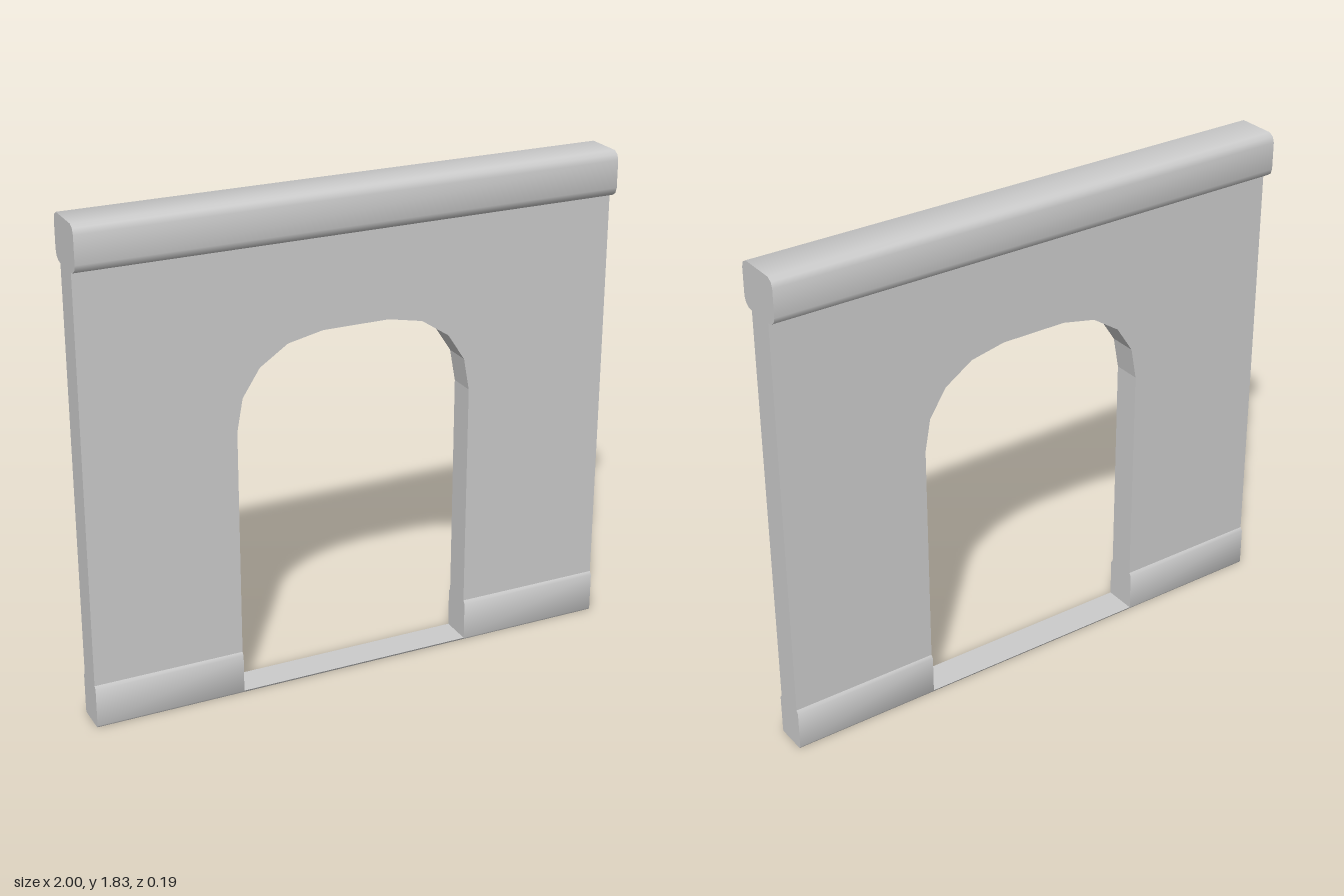
import * as THREE from 'three';
import { toCreasedNormals } from 'three/addons/utils/BufferGeometryUtils.js';

const material = new THREE.MeshStandardMaterial({ color: 0xcccccc });

// Mirrors half of an outline, listed bottom to top, into a closed symmetric shape
function mirroredShape(half) {
  const other = half.map(([a, b]) => [-a, b]).reverse();
  return new THREE.Shape([...half, ...other].map(([a, b]) => new THREE.Vector2(a, b)));
}

// Sweeps a (depth, height) profile along x from x0 to x1
function molding(name, half, x0, x1) {
  const geometry = new THREE.ExtrudeGeometry(mirroredShape(half), { depth: x1 - x0, bevelEnabled: false });
  geometry.rotateY(Math.PI / 2).translate(x0, 0, 0);
  const mesh = new THREE.Mesh(toCreasedNormals(geometry, 0.9), material);
  mesh.name = name;
  return mesh;
}

export function createModel() {
  const group = new THREE.Group();
  group.name = 'archedWall';
  const opening = 0.447, wallHalf = 0.052, legBase = 0.155;

  // Wall panel with a faceted arched doorway
  const arch = [[opening, legBase], [opening, 1.01], [0.425, 1.13], [0.36, 1.23], [0.255, 1.3], [0.125, 1.327]];
  const right = [[1, 1.67], [1, legBase], ...arch];
  const outline = [...right, ...right.map(([x, y]) => [-x, y]).reverse()];
  const panel = new THREE.ExtrudeGeometry(
    new THREE.Shape(outline.map(([x, y]) => new THREE.Vector2(x, y))),
    { depth: wallHalf * 2, bevelEnabled: false });
  panel.translate(0, 0, -wallHalf);
  const wall = new THREE.Mesh(toCreasedNormals(panel, 0.1), material);
  wall.name = 'wallPanel';
  group.add(wall);

  // Rounded coping rail along the top
  group.add(molding('copingRail', [
    [0.052, 1.66], [0.07, 1.663], [0.088, 1.675], [0.095, 1.695],
    [0.095, 1.795], [0.088, 1.815], [0.07, 1.826],
  ], -1, 1));

  // Plinths either side of the doorway
  const plinth = [[0.056, 0], [0.061, 0.008], [0.061, 0.15], [wallHalf, 0.162]];
  group.add(molding('leftPlinth', plinth, opening, 1));
  group.add(molding('rightPlinth', plinth, -1, -opening));

  // Thin sill across the doorway
  group.add(molding('doorSill', [[0.056, 0], [0.061, 0.008]], -opening, opening));

  return group;
}
